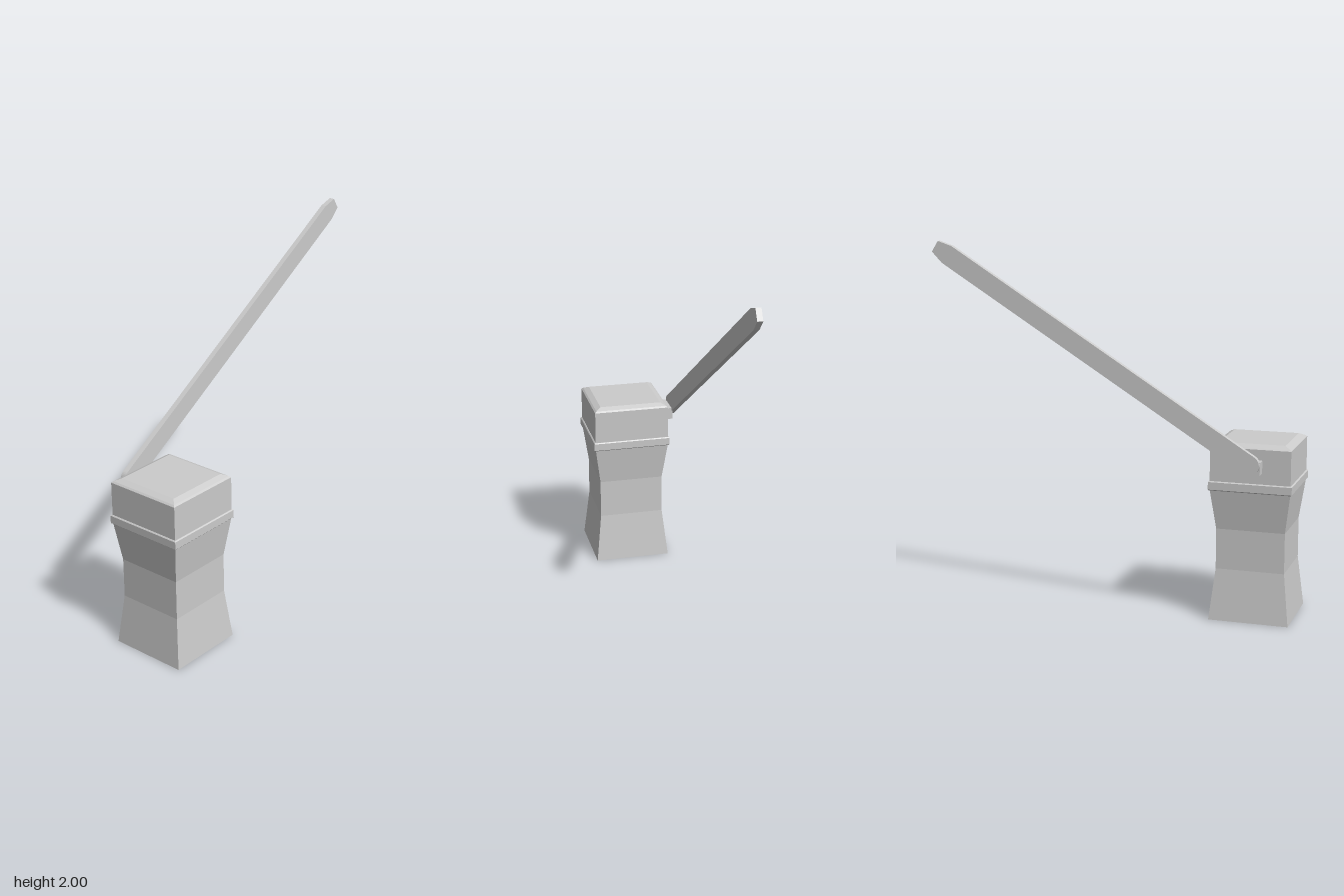
import * as THREE from 'three';

const material = new THREE.MeshStandardMaterial({ color: 0xcccccc, flatShading: true });

function addMesh(parent, name, geometry) {
  const mesh = new THREE.Mesh(geometry, material);
  mesh.name = name;
  parent.add(mesh);
  return mesh;
}

// Square-section solid from [half width, height] pairs, listed bottom to top
function squareSolid(profile) {
  const points = [[0, profile[0][1]], ...profile, [0, profile.at(-1)[1]]]
    .map(([half, y]) => new THREE.Vector2(half * Math.SQRT2, y));
  return new THREE.LatheGeometry(points, 4, Math.PI / 4);
}

export function createModel() {
  const group = new THREE.Group();
  group.name = 'barrierGate';

  // Waisted post with a collar and a chamfered head
  const post = new THREE.Group();
  post.name = 'post';
  post.position.set(0.036, 0, 0.765);
  group.add(post);
  addMesh(post, 'pedestal', squareSolid([[0.217, 0], [0.186, 0.28], [0.186, 0.5], [0.217, 0.72]]));
  addMesh(post, 'collar', squareSolid([
    [0.22, 0.714], [0.225, 0.719], [0.225, 0.76], [0.22, 0.765],
  ]));
  addMesh(post, 'head', squareSolid([[0.217, 0.76], [0.217, 0.95], [0.208, 0.958], [0.178, 0.972]]));

  // Short block joining the arm to the head
  addMesh(group, 'armMount', new THREE.BoxGeometry(0.07, 0.068, 0.15))
    .position.set(-0.205, 0.859, 0.755);

  // Flat raised arm: round at the pivot, tapered at the tip
  const r = 0.054;
  const outline = new THREE.Shape();
  outline.moveTo(0, -r);
  outline.lineTo(1.98, -r);
  outline.lineTo(2.06, -0.034);
  outline.lineTo(2.06, 0.034);
  outline.lineTo(1.98, r);
  outline.lineTo(0, r);
  outline.absarc(0, 0, r, Math.PI / 2, Math.PI * 1.5, false);
  const armGeometry = new THREE.ExtrudeGeometry(outline, {
    depth: 0.03, bevelEnabled: false, curveSegments: 10,
  });
  armGeometry.translate(0, 0, -0.015).rotateY(Math.PI / 2);
  const arm = addMesh(group, 'arm', armGeometry);
  arm.rotation.x = THREE.MathUtils.degToRad(32);
  arm.position.set(-0.25, 0.88, 0.776);

  return group;
}
